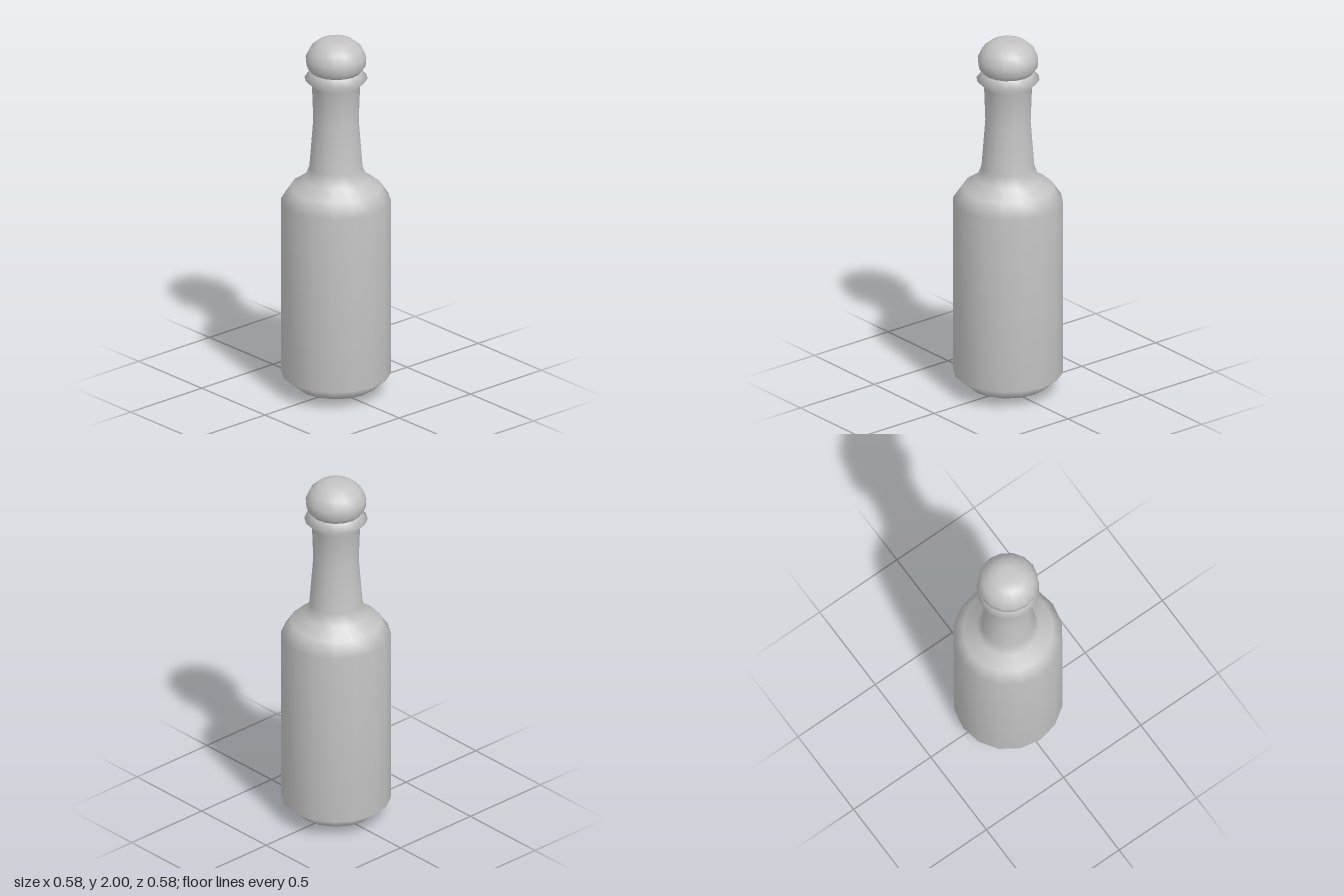
import * as THREE from 'three';

const SIDES = 16;

// Smooth surface of revolution from [radius, height] pairs, bottom to top
function turned(name, profile, material) {
  const points = profile.map(([r, y]) => new THREE.Vector2(r, y));
  const mesh = new THREE.Mesh(new THREE.LatheGeometry(points, SIDES), material);
  mesh.name = name;
  return mesh;
}

export function createModel() {
  const grey = new THREE.MeshStandardMaterial({ color: 0xc4c4c4 });
  grey.name = 'plain grey';

  const model = new THREE.Group();
  model.name = 'bottle';

  // Rounded base, straight body, shoulder, tapering neck and flared collar
  model.add(turned('bottleBody', [
    [0, 0.005], [0.06, 0], [0.15, 0.015], [0.21, 0.04], [0.29, 0.11],
    [0.29, 1.09], [0.24, 1.165], [0.165, 1.215], [0.14, 1.28],
    [0.12, 1.54], [0.127, 1.74], [0.167, 1.78], [0.133, 1.82],
  ], grey));

  // Bulbous stopper above the collar
  model.add(turned('stopper', [
    [0.133, 1.82], [0.156, 1.85], [0.16, 1.9], [0.136, 1.95],
    [0.095, 1.985], [0.05, 2], [0, 1.997],
  ], grey));

  return model;
}
